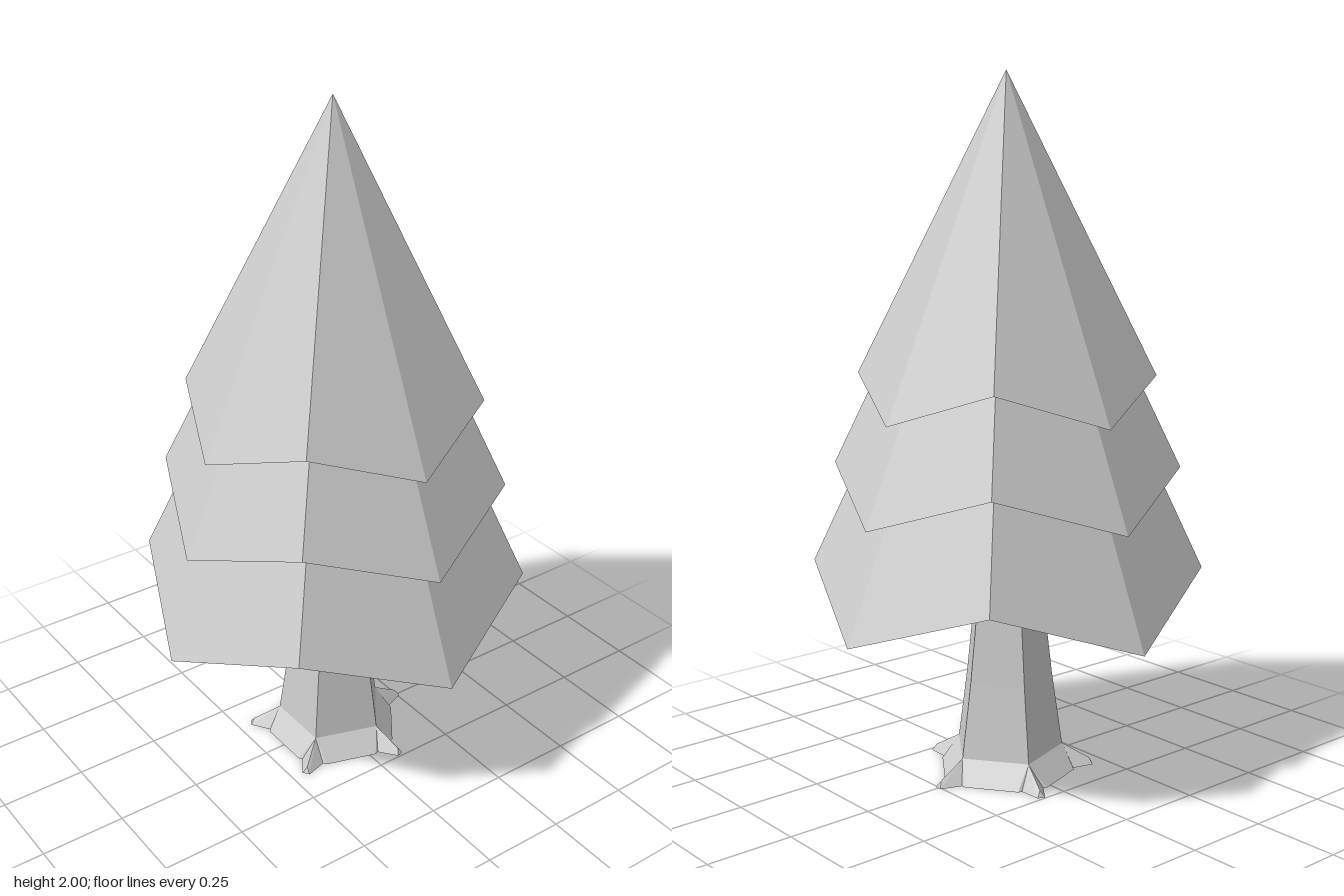
import * as THREE from 'three';

const grey = new THREE.MeshStandardMaterial({ color: 0xcccccc, flatShading: true, side: THREE.DoubleSide });
grey.name = 'plain grey';

// Point at an angle around y (0 = back, -z)
const polar = (deg, r, y) => {
  const a = THREE.MathUtils.degToRad(deg);
  return new THREE.Vector3(Math.sin(a) * r, y, -Math.cos(a) * r);
};

// Flat-shaded mesh from a list of triangles
function facets(name, triangles) {
  const geo = new THREE.BufferGeometry().setFromPoints(triangles.flat());
  geo.computeVertexNormals();
  const mesh = new THREE.Mesh(geo, grey);
  mesh.name = name;
  return mesh;
}

// Open eight-sided cone whose rim dips at the four cardinal points
function foliageTier(name, radius, lowY, highY, apexY) {
  const apex = new THREE.Vector3(0, apexY, 0);
  const rim = i => polar(i * 45, radius, i % 2 ? highY : lowY);
  const tris = [];
  for (let i = 0; i < 8; i++) tris.push([apex, rim(i + 1), rim(i)]);
  return facets(name, tris);
}

// Five-sided tapering trunk
function trunk() {
  const rings = [[0.165, 0.065], [0.134, 0.28], [0.109, 0.5], [0.085, 0.8]];
  const tris = [];
  for (let k = 0; k < rings.length - 1; k++) {
    for (let i = 0; i < 5; i++) {
      const [a, b, c, d] = [[i, k], [i + 1, k], [i + 1, k + 1], [i, k + 1]]
        .map(([s, n]) => polar(s * 72, ...rings[n]));
      tris.push([a, c, b], [a, d, c]);
    }
  }
  return facets('trunk', tris);
}

// Sloping foot of the trunk with a closed underside
function trunkFoot() {
  const centre = new THREE.Vector3();
  const tris = [];
  for (let i = 0; i < 5; i++) {
    const a = i * 72;
    const top = polar(a, 0.165, 0.065), nextTop = polar(a + 72, 0.165, 0.065);
    const l = polar(a - 13, 0.2, 0), r = polar(a + 13, 0.2, 0), next = polar(a + 59, 0.2, 0);
    tris.push([top, r, l], [top, nextTop, next], [top, next, r]);
    tris.push([centre, l, r], [centre, r, next]);
  }
  return facets('trunkFoot', tris);
}

// Pointed root running outwards from a trunk corner
function root(deg) {
  const ridge = polar(deg, 0.165, 0.065);
  const l = polar(deg - 11, 0.19, 0), r = polar(deg + 11, 0.19, 0);
  const tipTop = polar(deg, 0.245, 0.018);
  const tl = polar(deg - 2.5, 0.255, 0), tr = polar(deg + 2.5, 0.255, 0);
  return facets('root', [
    [ridge, tl, l], [ridge, tipTop, tl],
    [ridge, r, tr], [ridge, tr, tipTop],
    [tipTop, tr, tl], [l, tl, tr], [l, tr, r],
  ]);
}

export function createModel() {
  const tree = new THREE.Group();
  tree.name = 'coniferTree';

  // Foliage
  tree.add(
    foliageTier('topFoliage', 0.421, 1.06, 1.165, 2),
    foliageTier('middleFoliage', 0.492, 0.785, 0.905, 1.92),
    foliageTier('bottomFoliage', 0.558, 0.475, 0.615, 1.8),
  );

  // Trunk and roots
  tree.add(trunk(), trunkFoot());
  const roots = new THREE.Group();
  roots.name = 'roots';
  for (let i = 0; i < 5; i++) roots.add(root(i * 72));
  tree.add(roots);
  return tree;
}
